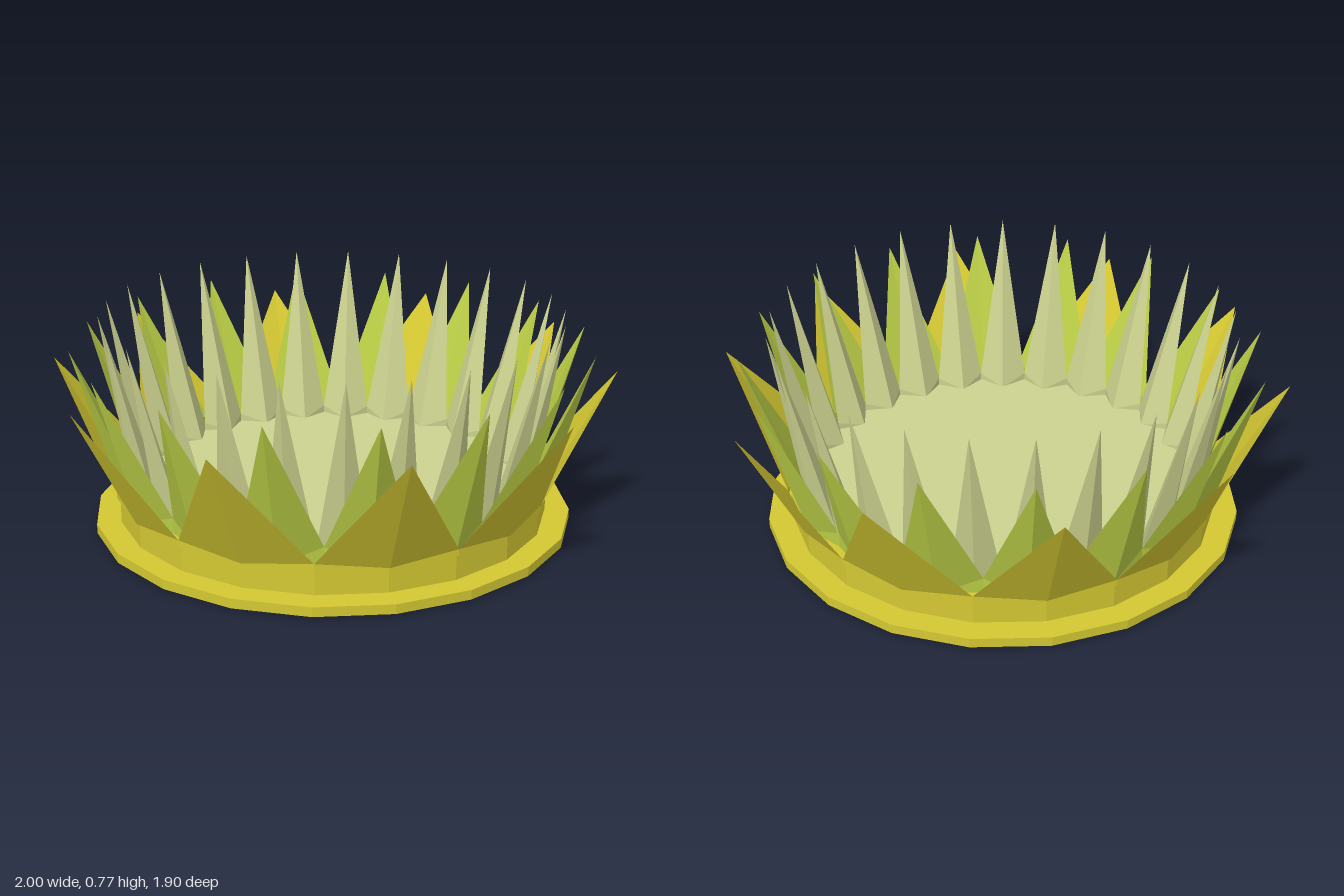
import * as THREE from 'three';

const flat = (name, color) => {
  const m = new THREE.MeshStandardMaterial({ color, flatShading: true, side: THREE.DoubleSide });
  m.name = name;
  return m;
};

// Closed ring of pointed petals. Each radius/height pair is [r, y]:
// tip, valley between petals, and the feet of the outer and inner ridges.
function petalRing({ count, start, tip, valley, outer, inner }) {
  const pos = [];
  const step = (Math.PI * 2) / count;
  const at = ([r, y], a) => [r * Math.cos(a), y, r * Math.sin(a)];
  const tri = (a, b, c) => pos.push(...a, ...b, ...c);
  for (let i = 0; i < count; i++) {
    const a = start + i * step;
    const T = at(tip, a), O = at(outer, a), I = at(inner, a);
    const low = [valley[0], outer[1]];
    const R = at(valley, a - step / 2), L = at(valley, a + step / 2);
    const RB = at(low, a - step / 2), LB = at(low, a + step / 2);
    // outside
    tri(O, R, T); tri(O, T, L);
    tri(O, RB, R); tri(O, L, LB);
    // inside
    tri(I, T, R); tri(I, L, T);
    tri(I, R, RB); tri(I, LB, L);
  }
  const g = new THREE.BufferGeometry();
  g.setAttribute('position', new THREE.Float32BufferAttribute(pos, 3));
  g.computeVertexNormals();
  return g;
}

export function createModel() {
  const group = new THREE.Group();
  const yellow = flat('olive yellow', 0xd4c832);
  const green = flat('leaf green', 0xb9cc45);
  const pale = flat('pale sage', 0xccd28f);

  const add = (name, geometry, material) => {
    const mesh = new THREE.Mesh(geometry, material);
    mesh.name = name;
    group.add(mesh);
  };
  const disc = (name, r, y0, y1, sides, material) => {
    const g = new THREE.CylinderGeometry(r, r, y1 - y0, sides);
    g.translate(0, (y0 + y1) / 2, 0);
    add(name, g, material);
  };

  // Base plate, collar and the core that forms the floor
  disc('basePlate', 0.855, 0.006, 0.04, 20, yellow);
  disc('collar', 0.768, 0.03, 0.135, 20, yellow);
  disc('core', 0.62, 0, 0.142, 50, pale);
  disc('floor', 0.7, 0.136, 0.142, 50, pale);

  // Three rings of petals, each taller and narrower towards the middle
  add('outerPetals', petalRing({
    count: 10, start: 0,
    tip: [1, 0.57], valley: [0.78, 0.155], outer: [0.78, 0.132], inner: [0.76, 0.132],
  }), yellow);
  add('middlePetals', petalRing({
    count: 16, start: 0,
    tip: [0.92, 0.665], valley: [0.725, 0.19], outer: [0.765, 0.135], inner: [0.7, 0.135],
  }), green);
  add('innerPetals', petalRing({
    count: 25, start: Math.PI / 2,
    tip: [0.815, 0.775], valley: [0.69, 0.17], outer: [0.72, 0.138], inner: [0.625, 0.138],
  }), pale);

  return group;
}
